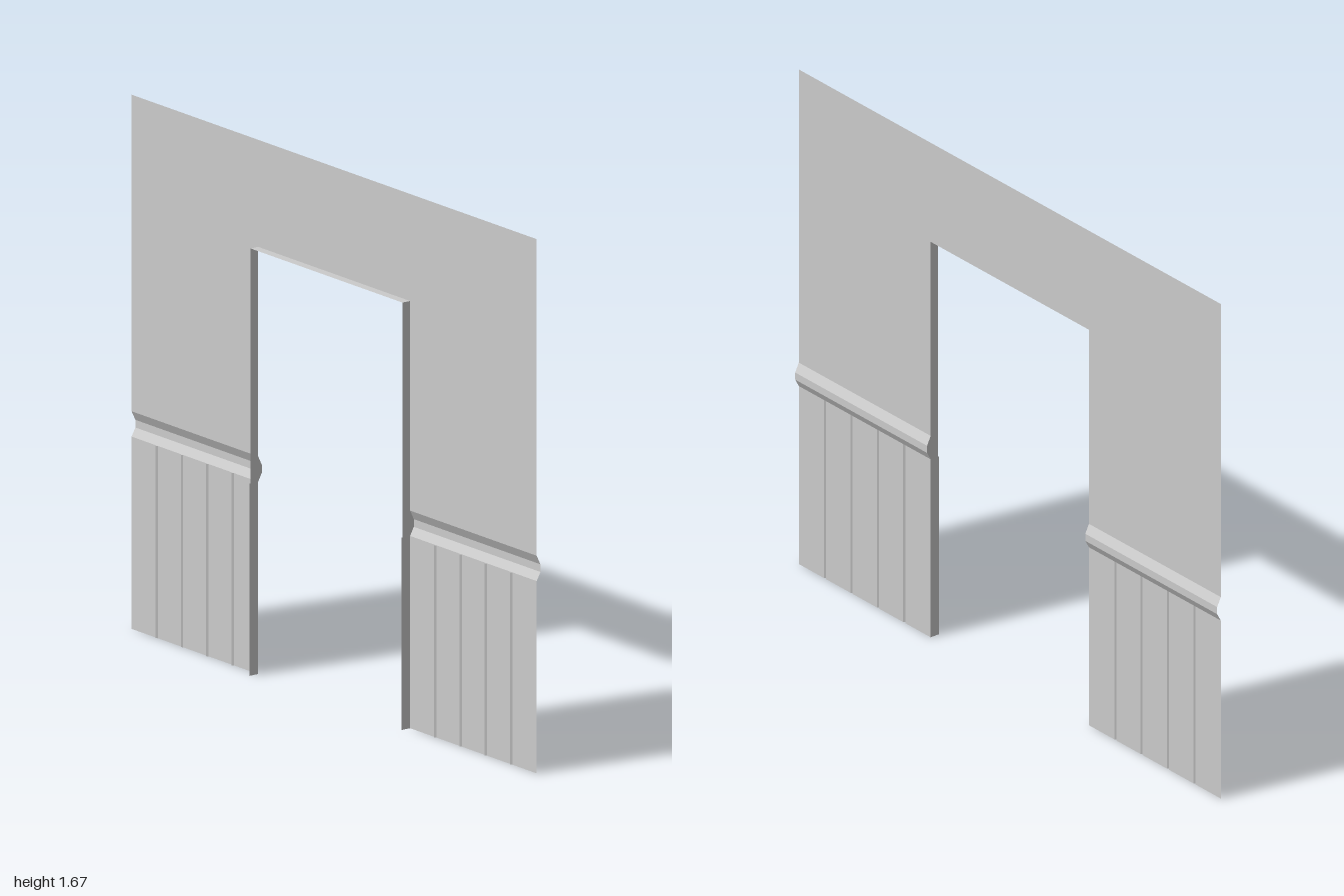
import * as THREE from 'three';

const W = 1, H = 1.667;              // half width and height of the wall
const DOOR_W = 0.375, DOOR_H = 1.333; // half width and height of the opening
const WALL_Z = -0.009, RAIL_Z = -0.023;
const REVEAL_Z = 0.02, REVEAL_LOW_Z = 0.023;
const PANEL_H = 0.6;

// Chair rail profile as [z, y], bottom to top
const RAIL = [[WALL_Z, PANEL_H], [RAIL_Z, 0.626], [RAIL_Z, 0.65], [WALL_Z, 0.679]];

const material = new THREE.MeshStandardMaterial({
  color: 0xcccccc, flatShading: true, side: THREE.DoubleSide,
});

// Open sheet stretched between two matching rows of points
function ribbon(rowA, rowB) {
  const positions = [];
  for (let i = 0; i < rowA.length - 1; i++) {
    const [a, b, c, d] = [rowA[i], rowA[i + 1], rowB[i + 1], rowB[i]];
    positions.push(...a, ...b, ...c, ...a, ...c, ...d);
  }
  const geometry = new THREE.BufferGeometry();
  geometry.setAttribute('position', new THREE.Float32BufferAttribute(positions, 3));
  geometry.computeVertexNormals();
  return geometry;
}

const outline = (points) =>
  new THREE.ShapeGeometry(new THREE.Shape(points.map(([x, y]) => new THREE.Vector2(x, y))));

export function createModel() {
  const model = new THREE.Group();
  model.name = 'doorwayWall';
  const add = (name, geometry) => {
    const mesh = new THREE.Mesh(geometry, material);
    mesh.name = name;
    model.add(mesh);
  };

  // Plain wall above the rail, wrapping over the doorway
  const railTop = RAIL[RAIL.length - 1][1];
  add('upperWall', outline([
    [-W, railTop], [-DOOR_W, railTop], [-DOOR_W, DOOR_H], [DOOR_W, DOOR_H],
    [DOOR_W, railTop], [W, railTop], [W, H], [-W, H],
  ]).translate(0, 0, WALL_Z));

  // Underside of the lintel
  add('lintelReveal', ribbon(
    [[-DOOR_W, DOOR_H, WALL_Z], [DOOR_W, DOOR_H, WALL_Z]],
    [[-DOOR_W, DOOR_H, REVEAL_Z], [DOOR_W, DOOR_H, REVEAL_Z]],
  ));

  for (const [side, s] of [['left', 1], ['right', -1]]) {
    // Lower panelling with narrow vertical grooves
    const section = [[DOOR_W, WALL_Z]];
    for (let i = 1; i <= 4; i++) {
      const x = DOOR_W + i * 0.125;
      section.push([x - 0.005, WALL_Z], [x, WALL_Z + 0.005], [x + 0.005, WALL_Z]);
    }
    section.push([W, WALL_Z]);
    add(side + 'Panelling', ribbon(
      section.map(([x, z]) => [s * x, 0, z]),
      section.map(([x, z]) => [s * x, PANEL_H, z]),
    ));

    // Small caps closing the groove tops under the rail
    for (let i = 1; i <= 4; i++) {
      const x = s * (DOOR_W + i * 0.125);
      add(side + 'GrooveCap', ribbon(
        [[x - 0.005, PANEL_H, WALL_Z], [x + 0.005, PANEL_H, WALL_Z]],
        [[x, PANEL_H, WALL_Z + 0.005], [x, PANEL_H, WALL_Z + 0.005]],
      ));
    }

    // Chair rail
    add(side + 'ChairRail', ribbon(
      RAIL.map(([z, y]) => [s * DOOR_W, y, z]),
      RAIL.map(([z, y]) => [s * W, y, z]),
    ));

    // Door jamb, following the rail profile and slightly deeper at the foot
    add(side + 'Jamb', outline([
      [WALL_Z, 0], ...RAIL, [WALL_Z, DOOR_H], [REVEAL_Z, DOOR_H],
      [REVEAL_Z, PANEL_H], [REVEAL_LOW_Z, PANEL_H], [REVEAL_LOW_Z, 0],
    ]).rotateY(-Math.PI / 2).translate(s * DOOR_W, 0, 0));
  }

  return model;
}
